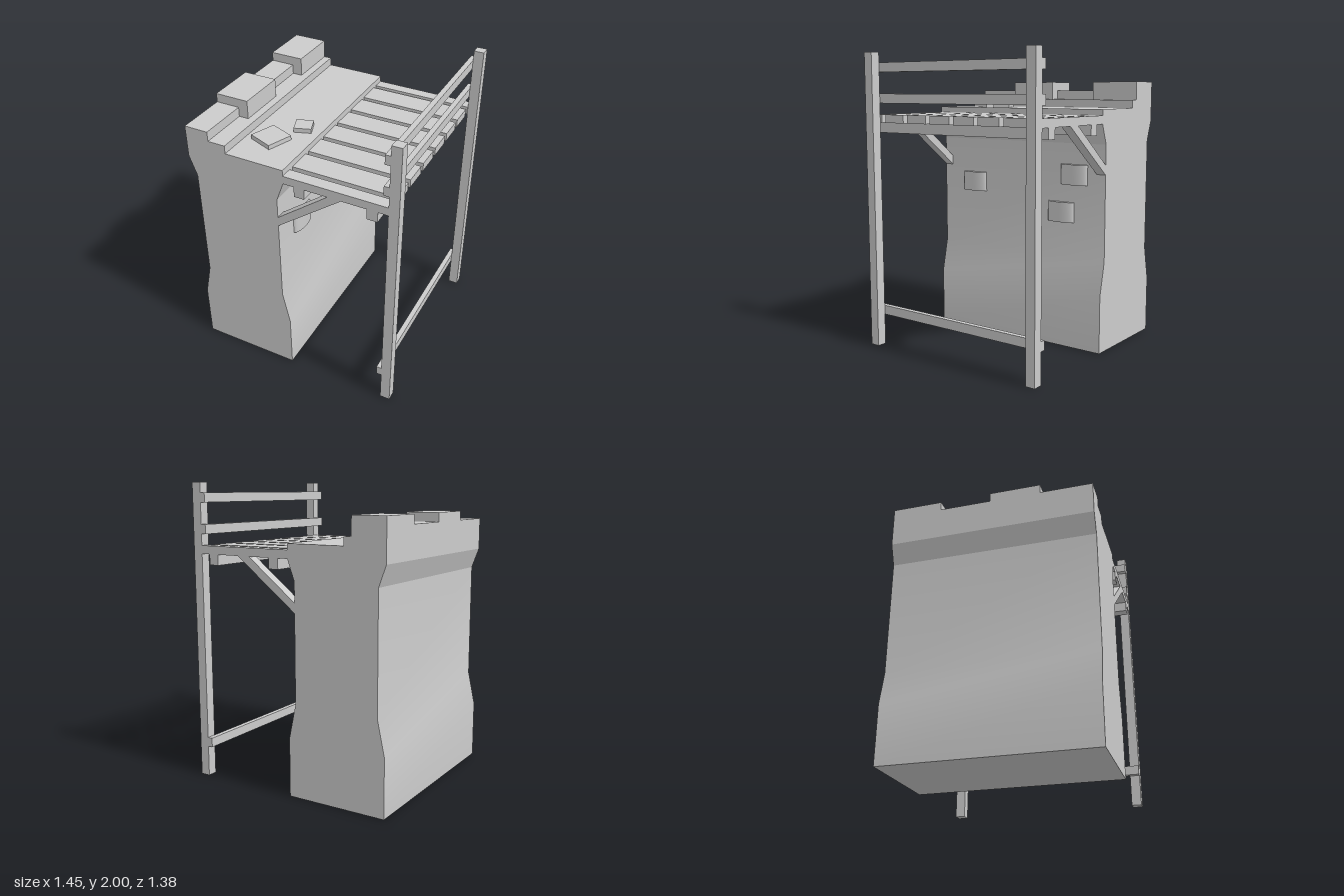
import * as THREE from 'three';
import { toCreasedNormals } from 'three/addons/utils/BufferGeometryUtils.js';

const HALF = 0.69; // half length of the wall section

export function createModel() {
  const group = new THREE.Group();
  const material = new THREE.MeshStandardMaterial({ color: 0xcccccc });

  const add = (name, geometry) => {
    const mesh = new THREE.Mesh(geometry, material);
    mesh.name = name;
    group.add(mesh);
    return mesh;
  };

  // box given by its lower and upper limits
  const box = (name, x0, x1, y0, y1, z0, z1) => {
    const mesh = add(name, new THREE.BoxGeometry(x1 - x0, y1 - y0, z1 - z0));
    mesh.position.set((x0 + x1) / 2, (y0 + y1) / 2, (z0 + z1) / 2);
    return mesh;
  };

  // side profile in x and y, extruded along z
  const profile = (name, points, z0, z1, crease) => {
    const shape = new THREE.Shape(points.map(([x, y]) => new THREE.Vector2(x, y)));
    const geometry = new THREE.ExtrudeGeometry(shape, { depth: z1 - z0, bevelEnabled: false });
    geometry.translate(0, 0, z0);
    return add(name, toCreasedNormals(geometry, crease));
  };

  // stone wall with flared foot, flared head and stepped parapet
  profile('wall', [
    [-0.725, 0], [-0.035, 0], [-0.035, 0.39], [-0.085, 0.62], [-0.085, 1.4],
    [-0.035, 1.535], [-0.035, 1.63], [-0.44, 1.63], [-0.44, 1.685], [-0.56, 1.685],
    [-0.56, 1.75], [-0.725, 1.75], [-0.725, 1.535], [-0.675, 1.4], [-0.675, 0.62], [-0.725, 0.39],
  ], -HALF, HALF, 0.3);

  // merlons
  for (const [z0, z1] of [[-HALF, -0.347], [0, 0.343]]) {
    box('merlon', -0.725, -0.492, 1.685, 1.81, z0, z1);
  }

  // loose slabs lying on the walkway
  for (const [x, z, size, turn] of [[-0.279, 0.414, 0.178, -0.36], [-0.163, 0.204, 0.114, 0.34]]) {
    const slab = box('looseSlab', -size / 2, size / 2, 1.63, 1.66, -size / 2, size / 2);
    slab.position.x = x;
    slab.position.z = z;
    slab.rotation.y = turn;
  }

  // rounded stones standing out of the wall face
  const stone = new THREE.Shape();
  stone.moveTo(0, -0.104);
  stone.bezierCurveTo(0.047, -0.1, 0.047, 0.1, 0, 0.104);
  const stoneGeometry = toCreasedNormals(
    new THREE.ExtrudeGeometry(stone, { depth: 0.138, bevelEnabled: false, curveSegments: 16 }), 0.7);
  stoneGeometry.rotateX(-Math.PI / 2);
  for (const [y, z] of [[1.02, 0.405], [1.12, -0.45], [0.86, -0.347]]) {
    add('wallStone', stoneGeometry).position.set(-0.086, y, z);
  }

  // deck planks, the outer two cut to the wall ends
  for (let i = 0; i < 8; i++) {
    const z = -0.6935 + i * 0.1975;
    box('deckPlank', -0.04, 0.655, 1.535, 1.59, Math.max(z - 0.082, -HALF), Math.min(z + 0.082, HALF));
  }

  // joists under the deck
  for (const x of [0.038, 0.52]) box('joist', x, x + 0.07, 1.465, 1.535, -HALF, HALF);

  // rails on the inner side of the posts
  for (const y of [0.21, 1.665, 1.87]) box('rail', 0.62, 0.655, y, y + 0.063, -HALF, HALF);

  // posts and diagonal braces at both ends
  for (const z0 of [-HALF, HALF - 0.067]) {
    box('post', 0.655, 0.722, 0, 2, z0, z0 + 0.067);
    profile('brace', [[-0.086, 1.2], [0.355, 1.536], [0.265, 1.536], [-0.086, 1.265]], z0, z0 + 0.067, 0.3);
  }

  return group;
}
